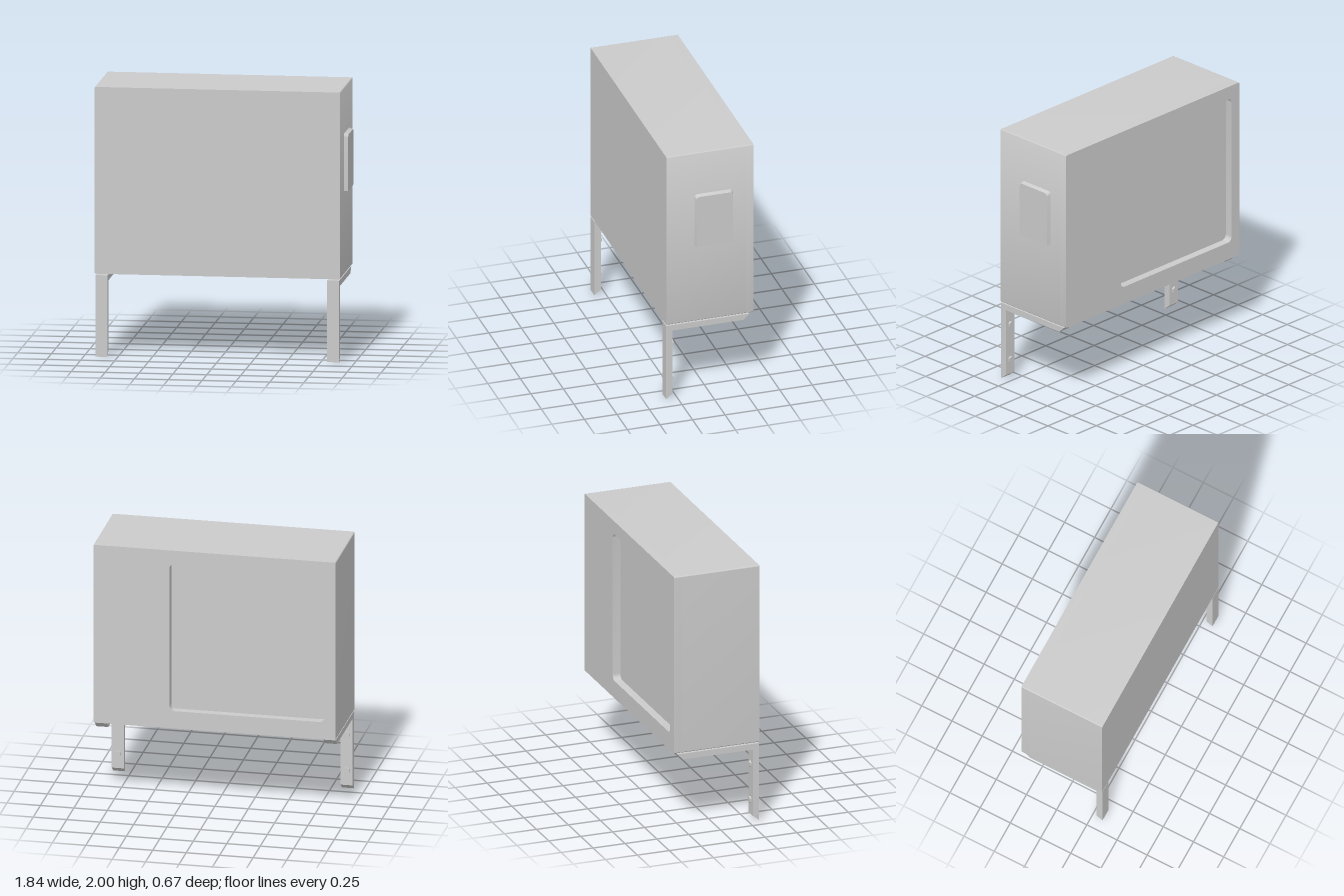
import * as THREE from 'three';
import { toCreasedNormals } from 'three/addons/utils/BufferGeometryUtils.js';

const material = new THREE.MeshStandardMaterial({ color: 0xcccccc });

function part(name, geometry, parent) {
  const mesh = new THREE.Mesh(geometry, material);
  mesh.name = name;
  parent.add(mesh);
  return mesh;
}

// Rectangle with separate corner radii for bottom and top
function roundedRect(x0, x1, y0, y1, rBottom, rTop, Type = THREE.Shape) {
  const s = new Type();
  s.moveTo(x0 + rBottom, y0);
  s.lineTo(x1 - rBottom, y0);
  if (rBottom) s.absarc(x1 - rBottom, y0 + rBottom, rBottom, -Math.PI / 2, 0);
  s.lineTo(x1, y1 - rTop);
  s.absarc(x1 - rTop, y1 - rTop, rTop, 0, Math.PI / 2);
  s.lineTo(x0 + rTop, y1);
  s.absarc(x0 + rTop, y1 - rTop, rTop, Math.PI / 2, Math.PI);
  s.lineTo(x0, y0 + rBottom);
  if (rBottom) s.absarc(x0 + rBottom, y0 + rBottom, rBottom, Math.PI, Math.PI * 1.5);
  return s;
}

function extrude(shape, depth) {
  return new THREE.ExtrudeGeometry(shape, { depth, bevelEnabled: false, curveSegments: 6 });
}

export function createModel() {
  const model = new THREE.Group();
  model.name = 'cabinetOnBrackets';

  // Casing: solid front block plus a rim framing the recess at the back
  const outline = () => roundedRect(-0.92, 0.89, 0.615, 2, 0.008, 0.008);
  const recess = 0.06;
  const block = extrude(outline(), 0.67 - recess).translate(0, 0, -0.335 + recess);
  part('casing', toCreasedNormals(block, 0.6), model);
  const rim = outline();
  rim.holes.push(roundedRect(-0.84, 0.32, 0.75, 1.9, 0.04, 0.04, THREE.Path));
  part('backRim', toCreasedNormals(extrude(rim, recess).translate(0, 0, -0.335), 0.6), model);

  // Side cover: tapers outwards at the top and sides, square at the bottom
  const cover = extrude(roundedRect(-0.1475, 0.1475, 0, 0.425, 0, 0.025), 0.03);
  const p = cover.attributes.position;
  for (let i = 0; i < p.count; i++) {
    if (p.getZ(i) > 0.015) p.setXY(i, p.getX(i) * 0.94, p.getY(i) * 0.975);
  }
  cover.rotateY(Math.PI / 2).translate(0.89, 1.235, -0.0275);
  part('sideCover', toCreasedNormals(cover, 0.5), model);

  // L-shaped brackets with mitred ends, drawn in (-z, y)
  const profile = new THREE.Shape([
    [-0.335, 0], [-0.285, 0.04], [-0.285, 0.56], [0.26, 0.56], [0.305, 0.605], [-0.335, 0.605],
  ].map(([x, y]) => new THREE.Vector2(x, y)));
  for (const [side, x] of [['right', -0.87], ['left', 0.84]]) {
    const bracket = new THREE.Group();
    bracket.name = side + 'Bracket';
    bracket.position.x = x;
    part('bracketBar', extrude(profile, 0.09).rotateY(Math.PI / 2).translate(-0.045, 0, 0), bracket);
    // Hexagonal bolt heads on the back of the upright
    for (const y of [0.435, 0.155]) {
      const head = new THREE.CylinderGeometry(0.025, 0.025, 0.02, 6).rotateX(Math.PI / 2);
      part('boltHead', toCreasedNormals(head, 0.5), bracket).position.set(0, y, 0.28);
    }
    model.add(bracket);
  }
  return model;
}
